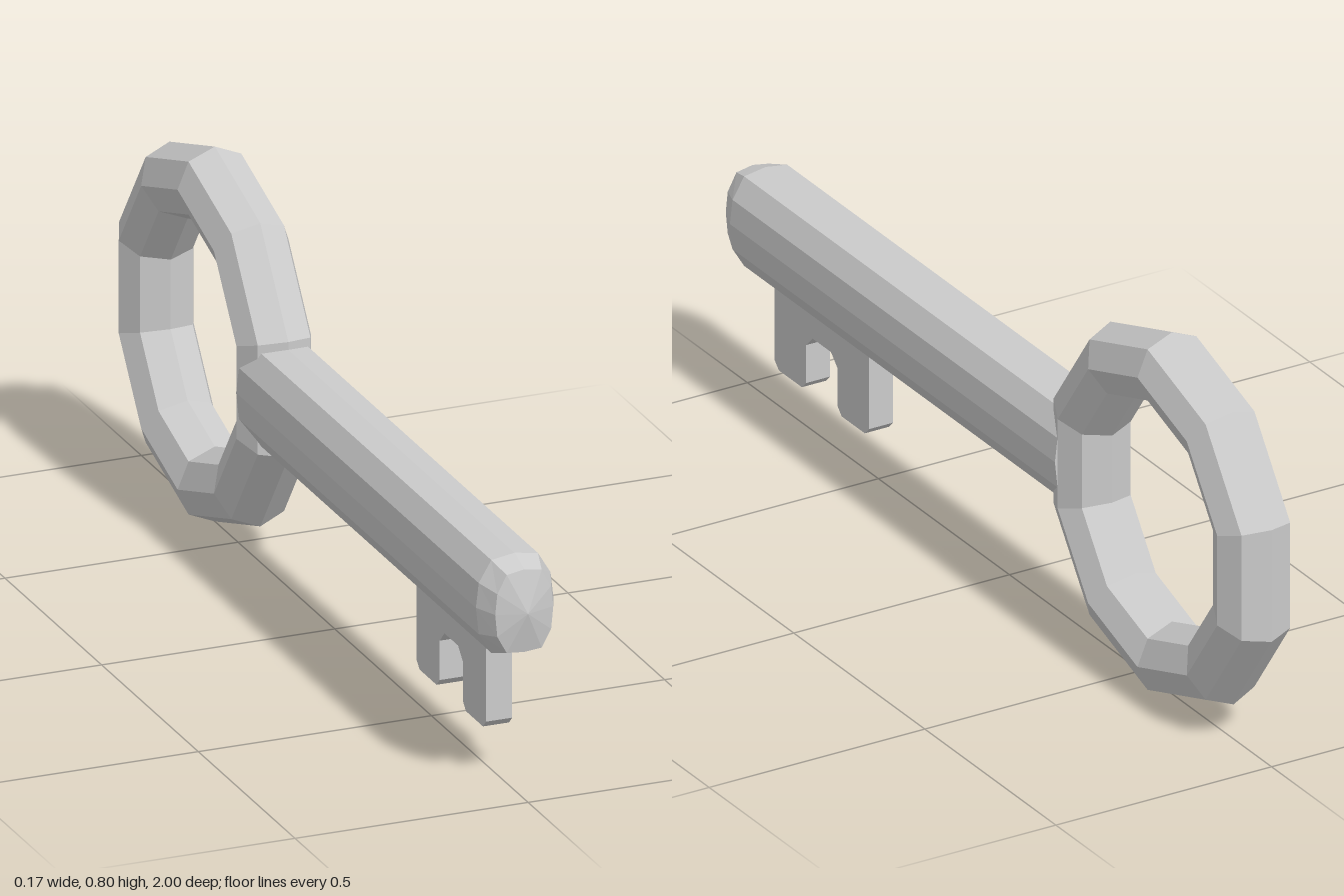
import * as THREE from 'three';

const material = new THREE.MeshStandardMaterial({ color: 0xcccccc, flatShading: true });

function addMesh(group, name, geometry) {
  const mesh = new THREE.Mesh(geometry, material);
  mesh.name = name;
  group.add(mesh);
  return mesh;
}

// Oval shaft: half cross-section mirrored, lofted along z and closed by a blunt tip
function shaftGeometry(centerY) {
  const half = [[0.05, 0.097], [0.077, 0.052], [0.083, 0], [0.077, -0.057], [0.05, -0.101]];
  const section = [
    [0, 0.105],
    ...half.map(([x, y]) => [-x, y]),
    [0, -0.105],
    ...half.slice().reverse(),
  ];
  // z, x scale, y scale
  const stations = [[-0.31, 0, 0], [-0.31, 1, 1], [0.93, 1, 1], [0.98, 0.75, 0.84], [1, 0, 0]];
  const n = section.length;
  const positions = [];
  const index = [];
  for (const [z, sx, sy] of stations) {
    for (const [x, y] of section) positions.push(x * sx, centerY + y * sy, z);
  }
  for (let s = 0; s < stations.length - 1; s++) {
    for (let i = 0; i < n; i++) {
      const a = s * n + i;
      const b = s * n + (i + 1) % n;
      if (s > 0) index.push(a, b, b + n);
      if (s < stations.length - 2) index.push(a, b + n, a + n);
      else index.push(a, b, a + n);
    }
  }
  // The first station is a point, so its triangles fan out from it
  for (let i = 0; i < n; i++) index.push(i, n + (i + 1) % n, n + i);
  const geometry = new THREE.BufferGeometry();
  geometry.setAttribute('position', new THREE.Float32BufferAttribute(positions, 3));
  geometry.setIndex(index);
  const flat = geometry.toNonIndexed();
  flat.computeVertexNormals();
  return flat;
}

// Notched plate with chamfered corners, drawn as (z, y)
function bitGeometry() {
  const c = 0.016;
  const outline = [
    [0.49, 0.34], [0.49, 0.105 + c], [0.49 + c, 0.105], [0.61 - c, 0.105], [0.61, 0.105 + c],
    [0.61, 0.205], [0.635, 0.23], [0.705, 0.23], [0.73, 0.205],
    [0.73, 0.105 + c], [0.73 + c, 0.105], [0.85 - c, 0.105], [0.85, 0.105 + c], [0.85, 0.34],
  ];
  const shape = new THREE.Shape(outline.map(([z, y]) => new THREE.Vector2(z, y)));
  const thickness = 0.056;
  return new THREE.ExtrudeGeometry(shape, { depth: thickness, bevelEnabled: false })
    .translate(0, 0, -thickness / 2)
    .rotateY(-Math.PI / 2);
}

export function createModel() {
  const group = new THREE.Group();
  group.name = 'key';

  // Ten-sided ring handle with a corner at the top
  const ring = new THREE.TorusGeometry(0.32, 0.08, 8, 10)
    .rotateZ(Math.PI / 10)
    .rotateY(Math.PI / 2);
  addMesh(group, 'ringHandle', ring).position.set(0, 0.4, -0.62);

  addMesh(group, 'shaft', shaftGeometry(0.402));
  addMesh(group, 'bit', bitGeometry());

  return group;
}
